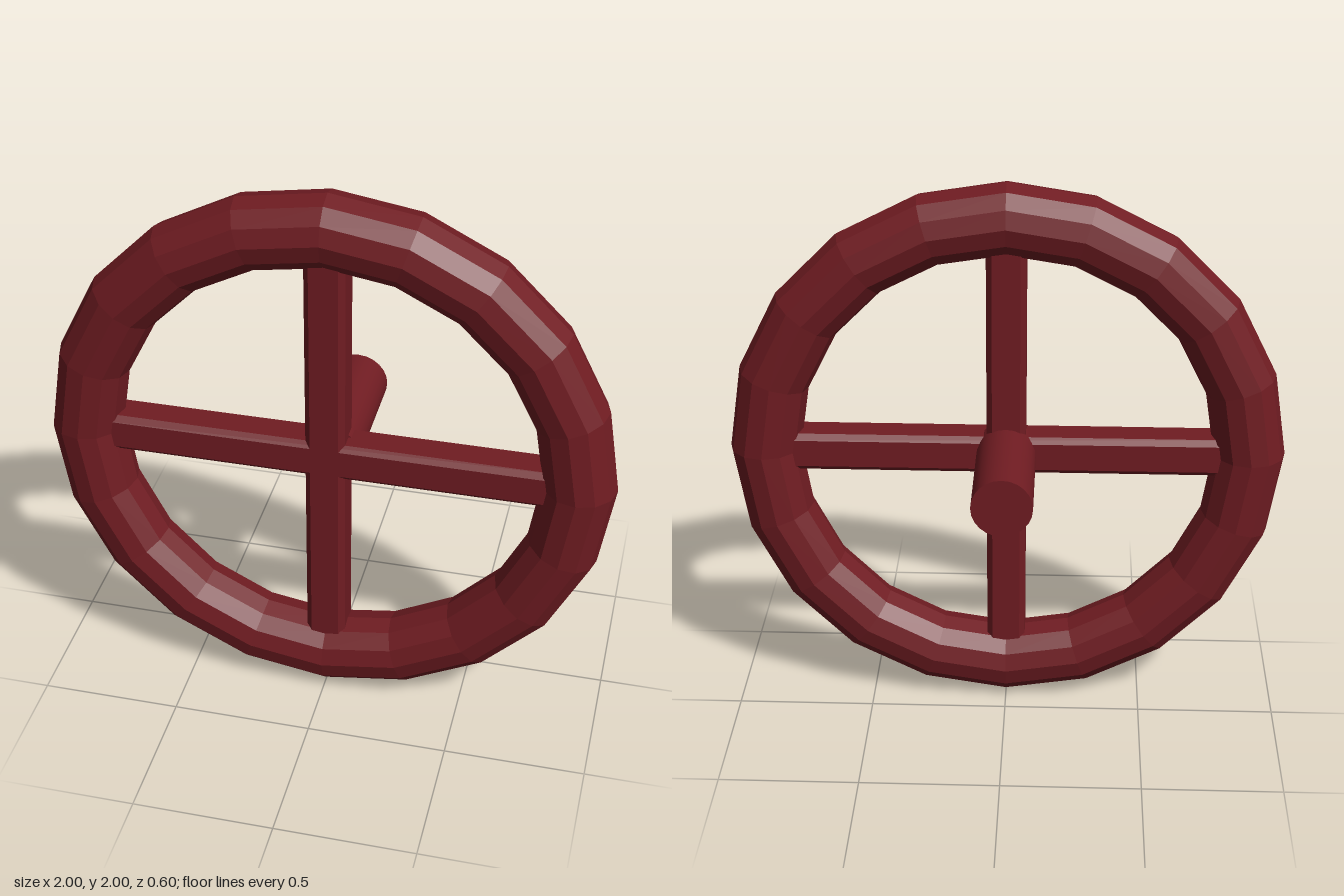
import * as THREE from 'three';

export function createModel() {
  const group = new THREE.Group();
  const CENTER_Y = 1, WHEEL_Z = 0.17;
  const faceted = new THREE.MeshStandardMaterial({ color: 0x701c22, flatShading: true });
  const smooth = new THREE.MeshStandardMaterial({ color: 0x701c22 });

  const add = (name, geometry, material, z) => {
    const mesh = new THREE.Mesh(geometry, material);
    mesh.name = name;
    mesh.position.set(0, CENTER_Y, z);
    group.add(mesh);
    return mesh;
  };

  // Faceted ring
  add('rim', new THREE.TorusGeometry(0.872, 0.128, 12, 20), faceted, WHEEL_Z);

  // Crossed bars with chamfered long edges, ending inside the rim
  const half = 0.07, flat = 0.05, length = 1.74;
  const section = new THREE.Shape([
    [half, -flat], [half, flat], [flat, half], [-flat, half],
    [-half, flat], [-half, -flat], [-flat, -half], [flat, -half],
  ].map(([x, y]) => new THREE.Vector2(x, y)));
  const bar = new THREE.ExtrudeGeometry(section, { depth: length, bevelEnabled: false });
  bar.translate(0, 0, -length / 2);
  add('verticalSpoke', bar.clone().rotateX(Math.PI / 2), faceted, WHEEL_Z);
  add('horizontalSpoke', bar.clone().rotateY(Math.PI / 2), faceted, WHEEL_Z);

  // Round stem running backwards from the crossing
  const back = -0.3, front = 0.17;
  const stem = new THREE.CylinderGeometry(0.107, 0.107, front - back, 24).rotateX(Math.PI / 2);
  add('stem', stem, smooth, (front + back) / 2);

  return group;
}
